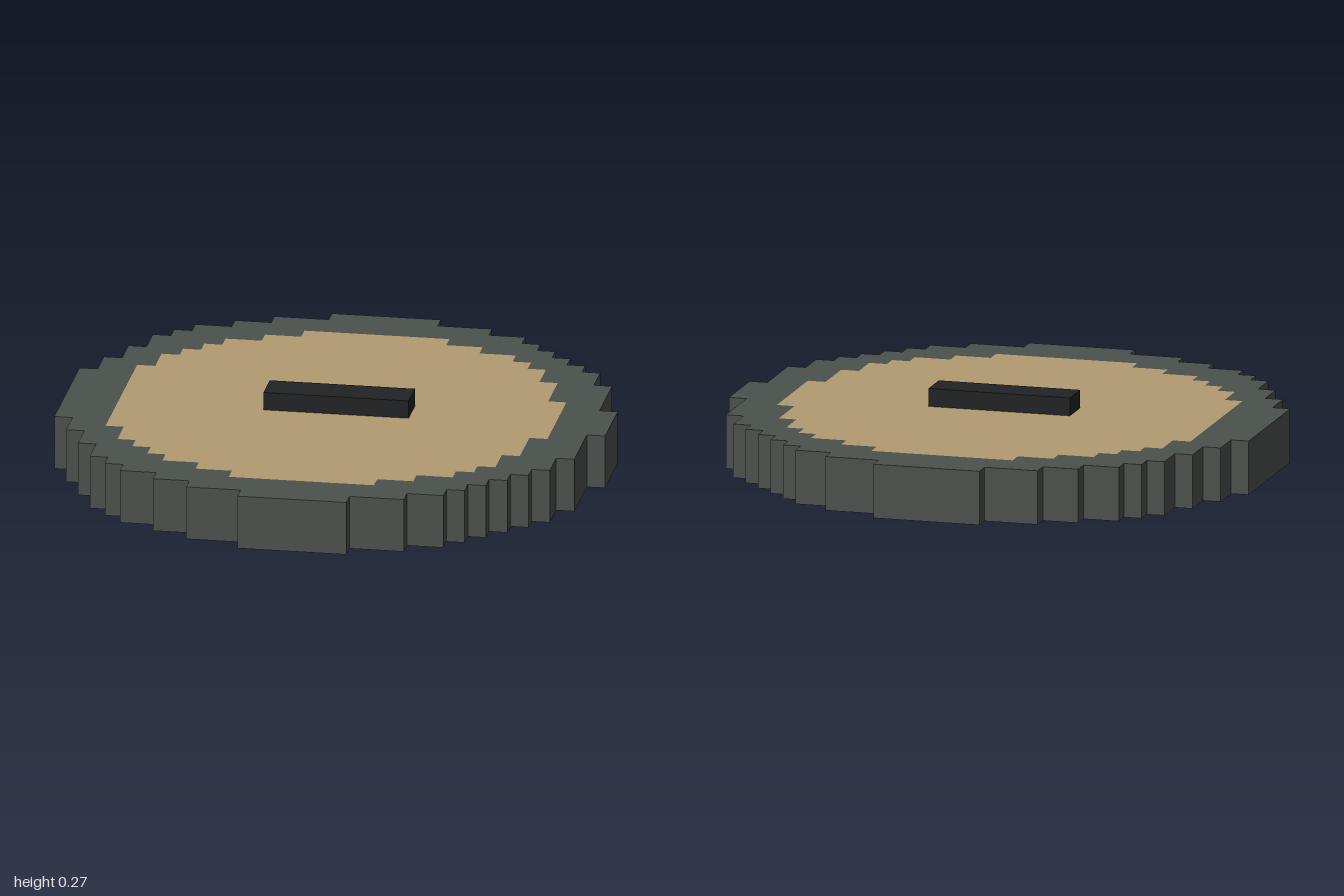
import * as THREE from 'three';

const U = 1 / 15; // one block

// Stepped outlines in blocks: [half-width x, half-depth z], from the side to the front
const FRONT = [[10, 11], [9, 12], [8, 13], [6, 14], [3, 15]];
const OUTER_LEFT = [[15, 2], [14, 6], [13, 8], [12, 9], [11, 10], ...FRONT];
const OUTER_RIGHT = [[15, 4], [14, 6], [13, 8], [12, 10], [11, 11], [10, 12], [8, 13], [6, 14], [3, 15]];
const INNER_FRONT = [[10, 8], [9, 9], [8, 10], [6, 11], [4, 12]];
const INNER_LEFT = [[12, 3], [11, 6], ...INNER_FRONT];
const INNER_RIGHT = [[12, 5], [11, 7], ...INNER_FRONT];

// Corner points of one staircase quarter, running from the side to the front
function quarter(steps, sx, sz) {
  const pts = [];
  steps.forEach(([x, z], i) => {
    if (i > 0) pts.push(new THREE.Vector2(sx * x * U, sz * steps[i - 1][1] * U));
    pts.push(new THREE.Vector2(sx * x * U, sz * z * U));
  });
  return pts;
}

function outline(left, right) {
  return [
    ...quarter(left, 1, 1),
    ...quarter(right, -1, 1).reverse(),
    ...quarter(right, -1, -1),
    ...quarter(left, 1, -1).reverse(),
  ];
}

export function createModel() {
  const stone = new THREE.MeshStandardMaterial({ color: 0x4b514c });
  stone.name = 'dark grey';
  const sand = new THREE.MeshStandardMaterial({ color: 0xb39b71, side: THREE.DoubleSide });
  sand.name = 'tan';
  const black = new THREE.MeshStandardMaterial({ color: 0x212324 });
  black.name = 'near black';

  const model = new THREE.Group();
  const add = (name, geometry, material, y) => {
    const mesh = new THREE.Mesh(geometry, material);
    mesh.name = name;
    mesh.position.y = y;
    model.add(mesh);
  };

  // Blocky rim, open underneath
  const rim = new THREE.Shape(outline(OUTER_LEFT, OUTER_RIGHT));
  rim.holes.push(new THREE.Path(outline(INNER_LEFT, INNER_RIGHT)));
  const rimGeometry = new THREE.ExtrudeGeometry(rim, { depth: 3 * U, bevelEnabled: false });
  add('rim', rimGeometry.rotateX(-Math.PI / 2), stone, 0);

  // Thin face filling the rim, level with its top
  const face = new THREE.Shape(outline(INNER_LEFT, INNER_RIGHT));
  add('topFace', new THREE.ShapeGeometry(face).rotateX(-Math.PI / 2), sand, 3 * U);

  // Handle bar, its underside just showing through the face
  const bar = new THREE.BoxGeometry(8 * U, U + 0.001, 2 * U);
  add('handleBar', bar, black, 3.5 * U - 0.0005);

  return model;
}
